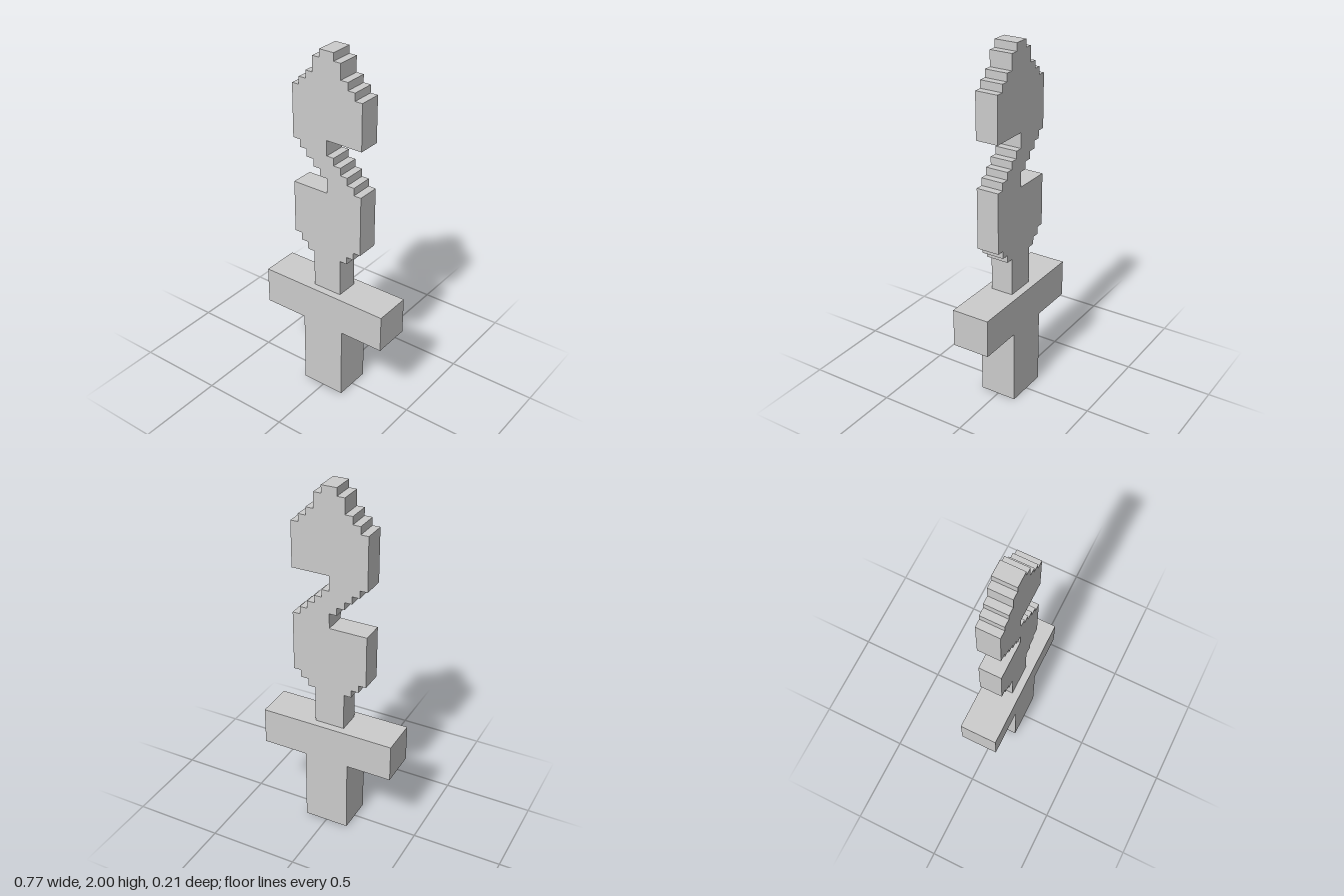
import * as THREE from 'three';

// Everything sits on a square grid, 47 cells tall
const U = 2 / 47;
const material = new THREE.MeshStandardMaterial({ color: 0xcccccc, flatShading: true });

// Builds a slab from a stepped outline. Each [x, y] pair means:
// step sideways to x, then run vertically to y.
function steppedSlab(name, startY, steps, depth) {
  const shape = new THREE.Shape();
  let y = startY;
  steps.forEach(([x, nextY], i) => {
    if (i === 0) shape.moveTo(x * U, y * U);
    else shape.lineTo(x * U, y * U);
    shape.lineTo(x * U, nextY * U);
    y = nextY;
  });
  shape.closePath();
  const geometry = new THREE.ExtrudeGeometry(shape, { depth: depth * U, bevelEnabled: false });
  geometry.translate(0, 0, -depth * U / 2);
  const mesh = new THREE.Mesh(geometry, material);
  mesh.name = name;
  return mesh;
}

export function createModel() {
  const group = new THREE.Group();
  group.name = 'notchedSword';

  // Grip and crossguard in one T-shaped piece
  group.add(steppedSlab('hilt', 0, [
    [3, 10], [9, 15], [-9, 10], [-3, 0],
  ], 5));

  // S-shaped blade with a notch on each side
  group.add(steppedSlab('blade', 15, [
    // right edge, going up
    [2, 20], [3, 21], [4, 22], [5, 30],
    [4, 31], [3, 32], [2, 33], [1, 34], [0, 36],
    [5, 42], [4, 43], [3, 44], [2, 46], [1, 47],
    // left edge, going down
    [-1, 46], [-2, 44], [-3, 43], [-4, 42], [-5, 35],
    [-4, 34], [-3, 33], [-2, 32], [-1, 31], [0, 29],
    [-5, 22], [-4, 21], [-3, 20], [-2, 15],
  ], 3));

  return group;
}
